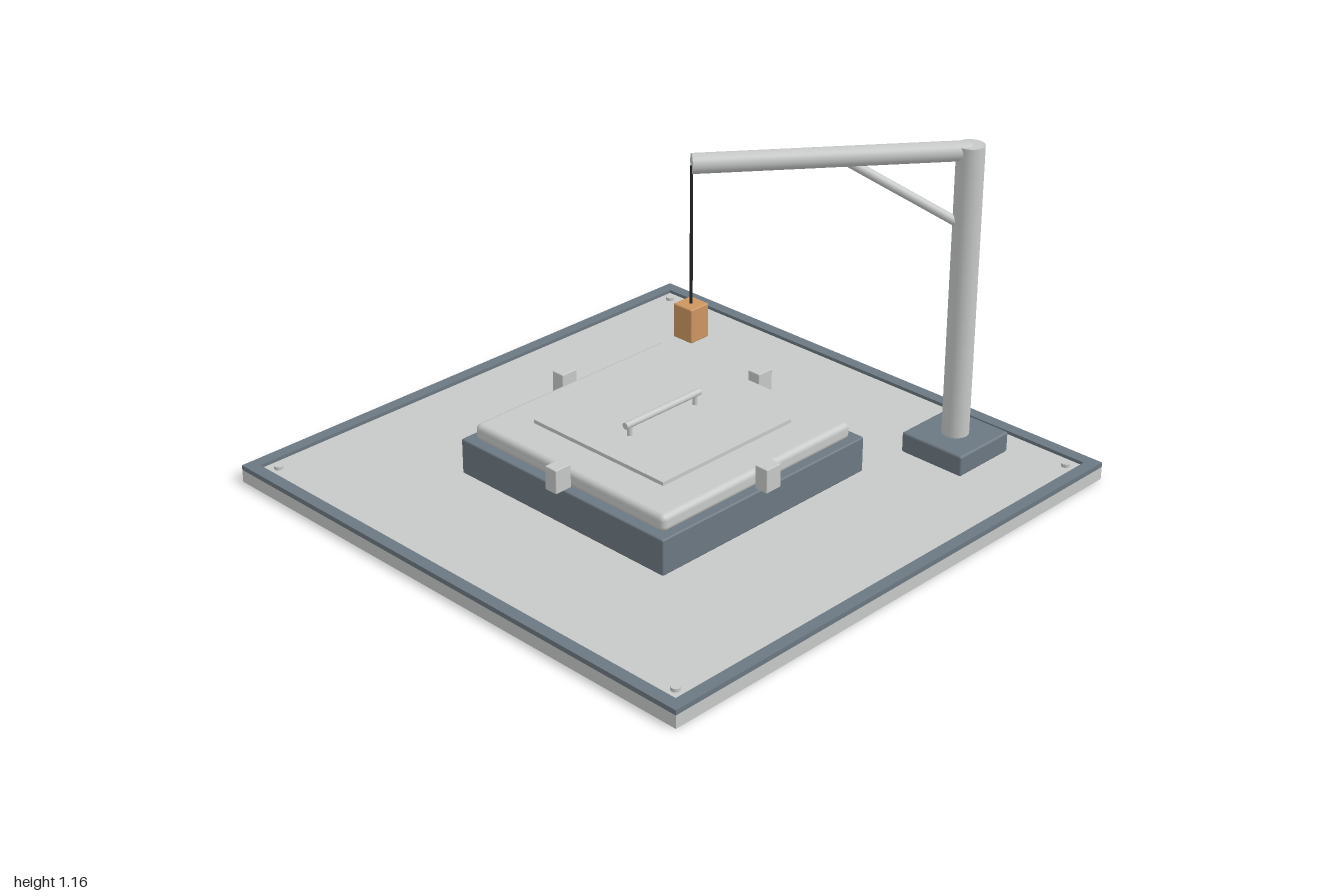
import * as THREE from 'three';
import { RoundedBoxGeometry } from 'three/addons/geometries/RoundedBoxGeometry.js';

export function createModel() {
  const root = new THREE.Group();
  const material = (name, color) => {
    const m = new THREE.MeshStandardMaterial({ color });
    m.name = name;
    return m;
  };
  const steel = material('light steel', 0xc6c9c7);
  const slate = material('slate grey', 0x6c7882);
  const copper = material('orange', 0xcc9560);
  const black = material('cable black', 0x242424);

  const add = (name, geometry, mat, x = 0, y = 0, z = 0) => {
    const mesh = new THREE.Mesh(geometry, mat);
    mesh.name = name;
    mesh.position.set(x, y, z);
    root.add(mesh);
    return mesh;
  };
  // Box given by its centre in plan and its bottom and top heights
  const box = (name, mat, x, z, w, d, y0, y1, r = 0) => add(name,
    r ? new RoundedBoxGeometry(w, y1 - y0, d, 3, r) : new THREE.BoxGeometry(w, y1 - y0, d),
    mat, x, (y0 + y1) / 2, z);
  // Round bar between two points
  const rod = (name, mat, a, b, r, sides = 24) => {
    const from = new THREE.Vector3(...a), to = new THREE.Vector3(...b);
    const dir = to.clone().sub(from);
    const mid = from.add(to).multiplyScalar(0.5);
    const mesh = add(name, new THREE.CylinderGeometry(r, r, dir.length(), sides), mat, mid.x, mid.y, mid.z);
    mesh.quaternion.setFromUnitVectors(new THREE.Vector3(0, 1, 0), dir.normalize());
    return mesh;
  };

  // Deck with a raised square rim and corner bolts
  const floor = 0.05;
  box('deckPlate', steel, 0, 0, 2, 2, 0, 0.045);
  box('deckPanel', steel, 0, 0, 1.92, 1.92, 0.044, floor);
  const square = (path, h) => {
    path.moveTo(-h, -h);
    path.lineTo(h, -h);
    path.lineTo(h, h);
    path.lineTo(-h, h);
    path.closePath();
    return path;
  };
  const frame = square(new THREE.Shape(), 1);
  frame.holes.push(square(new THREE.Path(), 0.957));
  const rim = new THREE.ExtrudeGeometry(frame, { depth: 0.017, bevelEnabled: false });
  rim.rotateX(-Math.PI / 2);
  add('deckRim', rim, slate, 0, 0.045, 0);
  for (const x of [-0.915, 0.915]) for (const z of [-0.915, 0.915]) {
    rod('cornerBolt', steel, [x, floor, z], [x, 0.062, z], 0.015, 16);
  }

  // Hatch: curb, rounded lid and raised panel
  const hx = -0.045;
  box('hatchCurb', slate, hx, 0, 0.93, 0.925, floor, 0.177, 0.006);
  box('hatchLid', steel, hx, 0, 0.866, 0.866, 0.172, 0.232, 0.02);
  box('lidPanel', steel, hx, 0, 0.59, 0.59, 0.22, 0.245);

  // Lid handle
  rod('handleBar', steel, [hx - 0.17, 0.284, 0], [hx + 0.17, 0.284, 0], 0.012, 16);
  for (const s of [-1, 1]) {
    rod('handlePost', steel, [hx + s * 0.15, 0.24, 0], [hx + s * 0.15, 0.284, 0], 0.009, 12);
  }

  // Clamps at the middle of each side
  for (const [x, z] of [[-0.465, 0], [0.465, 0], [0, 0.465], [0, -0.465]]) {
    box('hatchClamp', steel, hx + x, z, 0.065, 0.05, 0.175, 0.259, 0.003);
  }

  // Small block behind the hatch
  box('sensorBlock', slate, 0.463, -0.514, 0.057, 0.034, 0.068, 0.112, 0.009);

  // Crane: pedestal, mast, slanting boom and brace
  const mx = 0.735, mz = 0.592, boomY = 1.127;
  box('cranePedestal', slate, mx, mz, 0.25, 0.25, floor, 0.124, 0.008);
  rod('craneMast', steel, [mx, 0.12, mz], [mx, 1.147, mz], 0.046, 32);
  const tip = [0.04, boomY, 0.044];
  rod('craneBoom', steel, [mx, boomY, mz], tip, 0.033, 32);
  const t = (mx - 0.405) / (mx - tip[0]);
  rod('craneBrace', steel, [mx, 0.863, mz],
    [0.405, boomY, mz + (tip[2] - mz) * t], 0.016, 16);

  // Hanging load
  rod('hoistCable', black, [tip[0], 0.64, tip[2]], [tip[0], 1.12, tip[2]], 0.005, 8);
  box('hangingWeight', copper, tip[0], tip[2], 0.08, 0.08, 0.53, 0.648, 0.005);

  return root;
}
